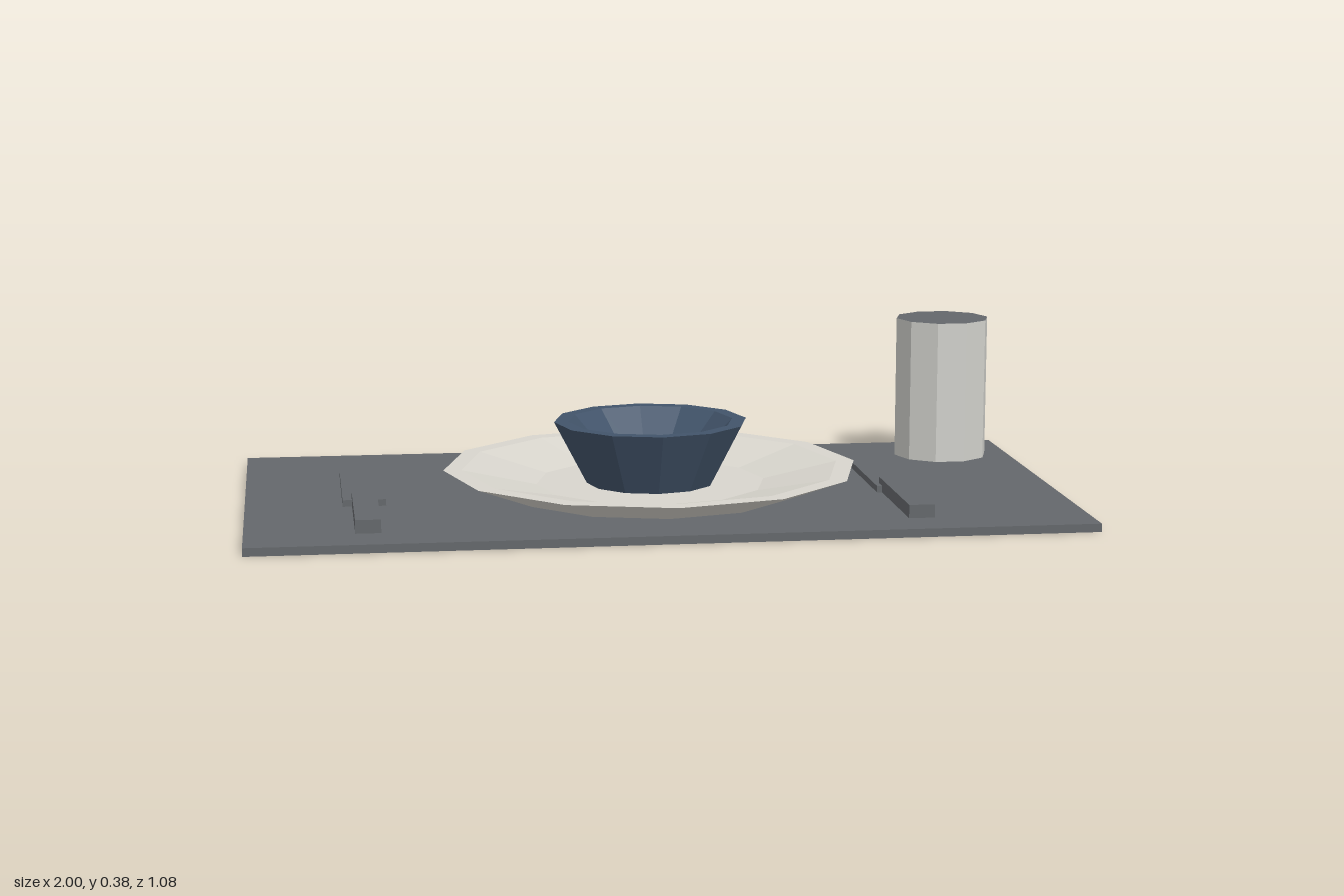
import * as THREE from 'three';

function material(name, color, flat = true) {
  const m = new THREE.MeshStandardMaterial({ color, flatShading: flat });
  m.name = name;
  return m;
}

export function createModel() {
  const group = new THREE.Group();
  group.name = 'placeSetting';

  const slate = material('slate grey', 0x64676b);
  const cream = material('cream', 0xd8d5cd);
  const pale = material('pale grey', 0xd0d0cb);
  const navy = material('navy blue', 0x42546a);

  const add = (name, geometry, mat, x = 0, y = 0, z = 0, parent = group) => {
    const mesh = new THREE.Mesh(geometry, mat);
    mesh.name = name;
    mesh.position.set(x, y, z);
    parent.add(mesh);
    return mesh;
  };
  const lathe = (points) =>
    new THREE.LatheGeometry(points.map(([r, y]) => new THREE.Vector2(r, y)), 12);

  // Placemat
  add('placemat', new THREE.BoxGeometry(2, 0.02, 1.075), slate, 0, 0.01, 0);

  // Plate: sloped underside, flat lip, shallow well
  add('plate', lathe([
    [0, 0.021], [0.36, 0.021], [0.515, 0.08], [0.47, 0.08], [0.285, 0.04], [0, 0.04],
  ]), cream);

  // Bowl: flared wall, flat lip, tapered inside
  add('bowl', lathe([
    [0, 0.038], [0.158, 0.038], [0.24, 0.195], [0.205, 0.195], [0.09, 0.075], [0, 0.075],
  ]), navy);

  // Cup: ten-sided with a dark top
  add('cup', new THREE.CylinderGeometry(0.122, 0.122, 0.365, 10, 1, false, Math.PI / 2),
    [pale, slate, pale], 0.823, 0.2025, -0.365);

  // Cutlery: flat blade or head behind, thicker handle in front
  const cutlery = [
    ['fork', -0.7125, 0.105, 0.06],
    ['knife', 0.595, 0.087, 0.062],
  ];
  for (const [name, x, headWidth, handleWidth] of cutlery) {
    const piece = new THREE.Group();
    piece.name = name;
    piece.position.set(x, 0.02, 0);
    group.add(piece);
    add(name + 'Head', new THREE.BoxGeometry(headWidth, 0.016, 0.345), slate, 0, 0.008, -0.0575, piece);
    add(name + 'Handle', new THREE.BoxGeometry(handleWidth, 0.032, 0.343), slate, 0, 0.016, 0.248, piece);
  }

  return group;
}
